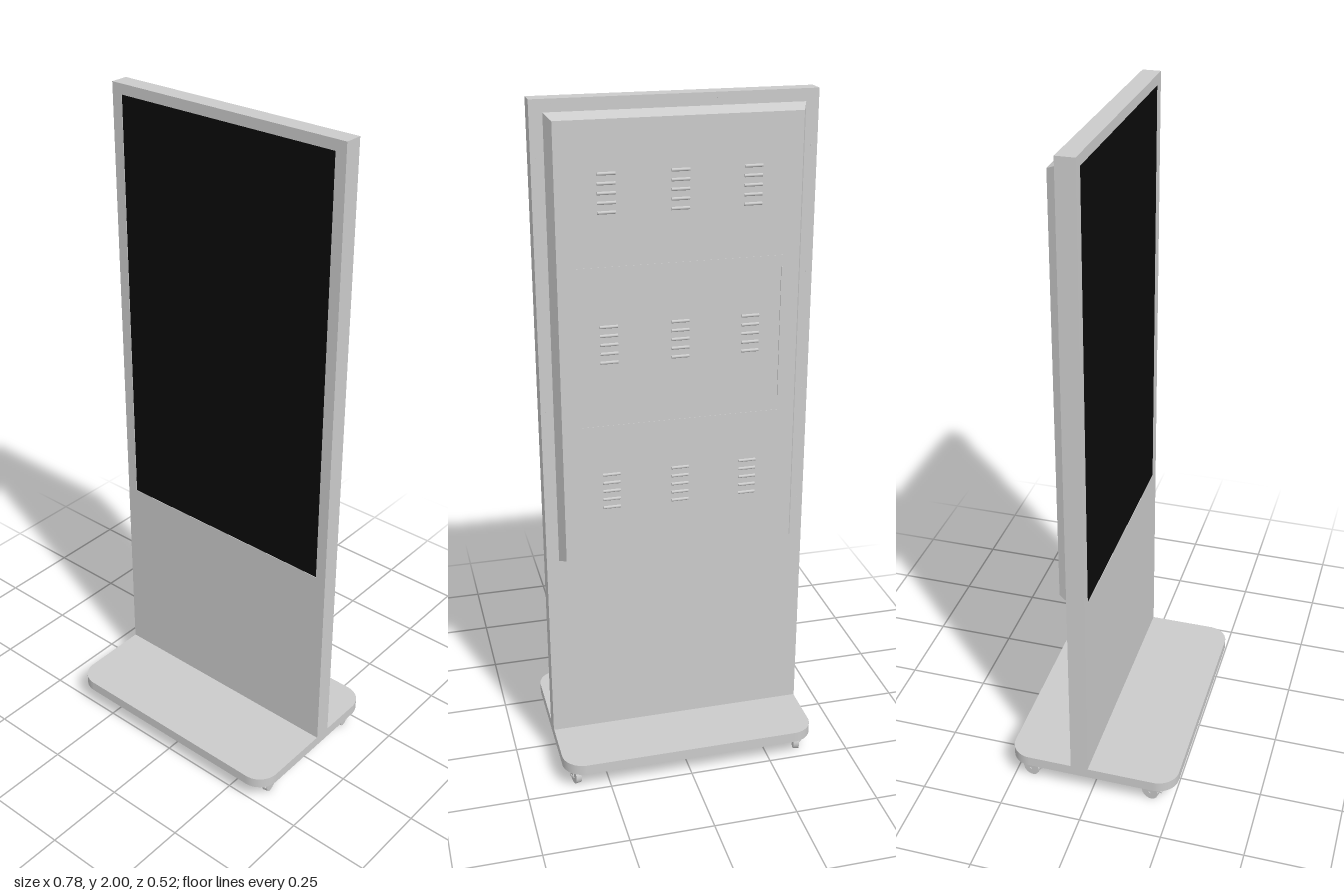
import * as THREE from 'three';

const grey = new THREE.MeshStandardMaterial({ color: 0xcccccc });
const black = new THREE.MeshStandardMaterial({ color: 0x0a0a0a });

function add(parent, name, geometry, x = 0, y = 0, z = 0, material = grey) {
  const mesh = new THREE.Mesh(geometry, material);
  mesh.name = name;
  mesh.position.set(x, y, z);
  parent.add(mesh);
  return mesh;
}

function roundedRect(w, d, r) {
  const x = w / 2, y = d / 2, s = new THREE.Shape();
  s.absarc(x - r, y - r, r, 0, Math.PI / 2);
  s.absarc(-x + r, y - r, r, Math.PI / 2, Math.PI);
  s.absarc(-x + r, -y + r, r, Math.PI, Math.PI * 1.5);
  s.absarc(x - r, -y + r, r, Math.PI * 1.5, Math.PI * 2);
  return s;
}

// Rear housing: a box whose back face is drawn in to make sloping sides
function taperedBox(w, h, d, inset) {
  const g = new THREE.BoxGeometry(w, h, d).toNonIndexed();
  const p = g.attributes.position;
  for (let i = 0; i < p.count; i++) {
    if (p.getZ(i) < 0) {
      p.setX(i, p.getX(i) - Math.sign(p.getX(i)) * inset);
      p.setY(i, p.getY(i) - Math.sign(p.getY(i)) * inset);
    }
  }
  g.computeVertexNormals();
  return g;
}

// Swivel caster: mounting plate, stem, two cheeks, wheel and brake pedal
function caster() {
  const c = new THREE.Group();
  c.name = 'caster';
  add(c, 'casterPlate', new THREE.CylinderGeometry(0.021, 0.021, 0.005, 20), 0, 0.0625, 0);
  add(c, 'casterStem', new THREE.CylinderGeometry(0.014, 0.017, 0.012, 20), 0, 0.054, 0);
  const cheek = new THREE.Shape([
    [0.017, 0.052], [-0.016, 0.052], [-0.022, 0.024], [-0.012, 0.018], [0.008, 0.034], [0.02, 0.044],
  ].map(([a, b]) => new THREE.Vector2(a, b)));
  for (const s of [-1, 1]) {
    const g = new THREE.ExtrudeGeometry(cheek, { depth: 0.003, bevelEnabled: false });
    g.translate(0, 0, -0.0015).rotateY(-Math.PI / 2);
    add(c, 'casterFork', g, s * 0.012, 0, 0);
  }
  add(c, 'forkTop', new THREE.BoxGeometry(0.027, 0.004, 0.033), 0, 0.05, 0.0005);
  const wheel = new THREE.CylinderGeometry(0.026, 0.026, 0.017, 28).rotateZ(Math.PI / 2);
  add(c, 'wheel', wheel, 0, 0.026, -0.01);
  const axle = new THREE.CylinderGeometry(0.005, 0.005, 0.032, 12).rotateZ(Math.PI / 2);
  add(c, 'axle', axle, 0, 0.026, -0.01);
  add(c, 'brakePedal', new THREE.BoxGeometry(0.02, 0.004, 0.018), 0, 0.043, 0.022).rotation.x = 0.35;
  return c;
}

export function createModel() {
  const model = new THREE.Group();
  model.name = 'displayStand';

  // Base plate
  const base = new THREE.ExtrudeGeometry(roundedRect(0.776, 0.522, 0.065),
    { depth: 0.032, bevelEnabled: false, curveSegments: 16 });
  add(model, 'basePlate', base.rotateX(-Math.PI / 2), 0, 0.065, 0);

  // Upright cabinet: front bezel with a window, plus the body behind it
  const front = new THREE.Shape([
    [-0.389, 0.097], [0.389, 0.097], [0.389, 2], [-0.389, 2],
  ].map(([x, y]) => new THREE.Vector2(x, y)));
  front.holes.push(new THREE.Path([
    [-0.356, 0.7], [-0.356, 1.97], [0.356, 1.97], [0.356, 0.7],
  ].map(([x, y]) => new THREE.Vector2(x, y))));
  add(model, 'frontBezel', new THREE.ExtrudeGeometry(front, { depth: 0.004, bevelEnabled: false }), 0, 0, -0.012);
  add(model, 'cabinet', new THREE.BoxGeometry(0.778, 1.903, 0.049), 0, 1.0485, -0.0365);
  add(model, 'screen', new THREE.BoxGeometry(0.712, 1.27, 0.003), 0, 1.335, -0.0111, black);

  // Rear housing
  add(model, 'rearHousing', taperedBox(0.706, 1.285, 0.037, 0.016), 0, 1.3235, -0.0795);
  const back = -0.098;

  // Service door: top and bottom seams and the edge strip
  for (const y of [1.56, 1.105]) {
    add(model, 'doorSeam', new THREE.BoxGeometry(0.58, 0.005, 0.002), 0, y, back);
  }
  add(model, 'doorEdgeStrip', new THREE.BoxGeometry(0.005, 0.39, 0.006), -0.288, 1.335, back);

  // Ventilation louvres: three by three groups of five hoods
  const hood = new THREE.CylinderGeometry(0.0045, 0.0045, 0.05, 10).rotateZ(Math.PI / 2);
  for (const y of [1.76, 1.345, 0.907]) {
    for (const x of [-0.2, 0, 0.2]) {
      const vent = new THREE.Group();
      vent.name = 'ventGroup';
      vent.position.set(x, y, back);
      for (let i = -2; i <= 2; i++) add(vent, 'louvre', hood, 0, i * 0.0255, 0);
      model.add(vent);
    }
  }

  // Small screws along the rear rim
  const screw = new THREE.CylinderGeometry(0.003, 0.003, 0.003, 10).rotateX(Math.PI / 2);
  for (const x of [-0.33, -0.11, 0.11, 0.33]) add(model, 'rimScrew', screw, x, 1.985, -0.061);
  for (const s of [-1, 1]) {
    for (const y of [0.8, 1.15, 1.5, 1.85]) add(model, 'rimScrew', screw, s * 0.372, y, -0.061);
  }

  // Four casters
  for (const x of [-0.35, 0.35]) {
    for (const z of [0.19, -0.19]) {
      const c = caster();
      c.position.set(x, 0, z);
      c.rotation.y = Math.sign(x) * 0.2;
      model.add(c);
    }
  }
  return model;
}
